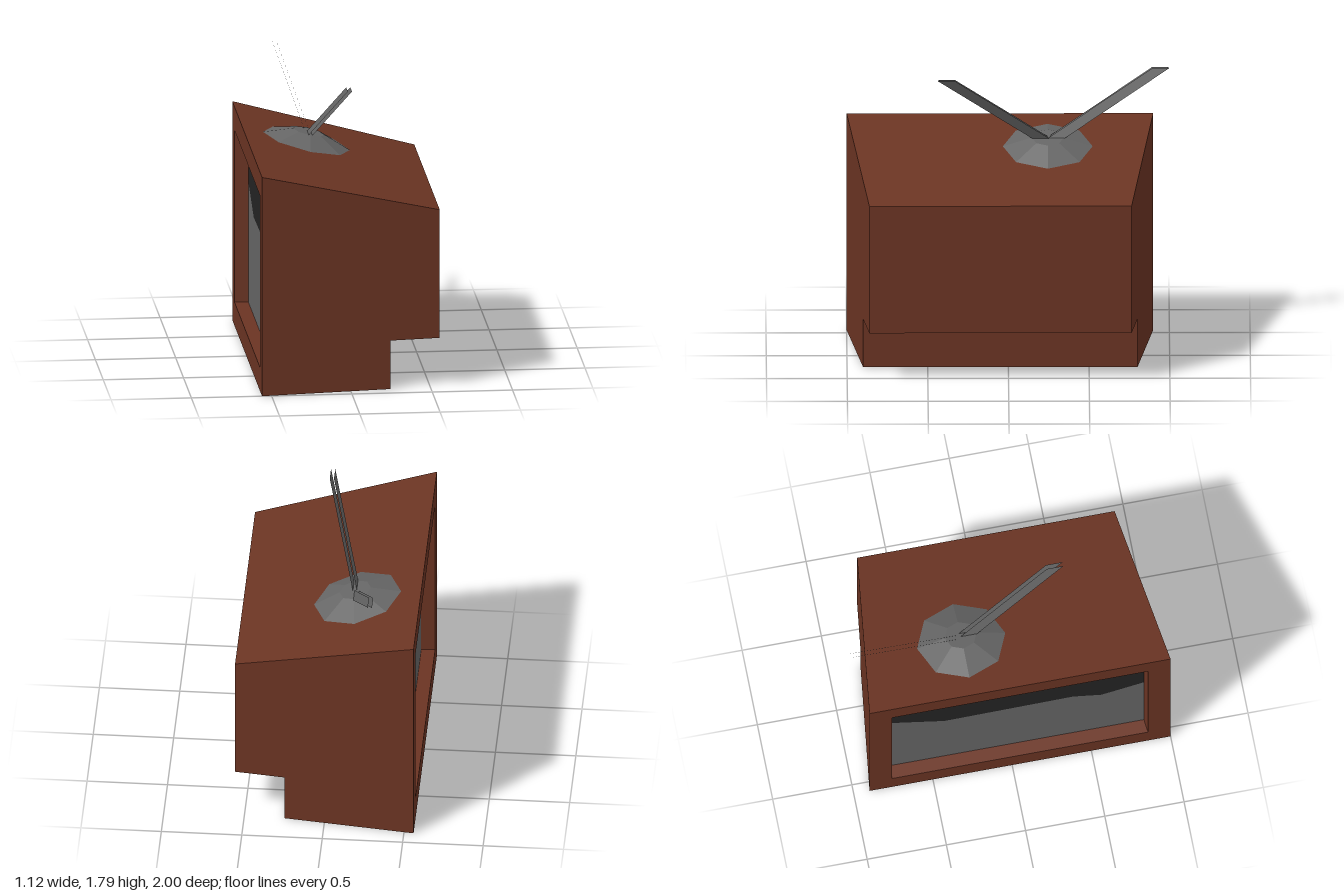
import * as THREE from 'three';

const brown = new THREE.MeshStandardMaterial({ color: 0x6b3423 });
brown.name = 'brown casing';
const grey = new THREE.MeshStandardMaterial({ color: 0x666666, side: THREE.DoubleSide, flatShading: true });
grey.name = 'grey metal and glass';
const black = new THREE.MeshStandardMaterial({ color: 0x242424 });
black.name = 'black glass';

const FRONT = -0.56, SCREEN = -0.47, HALF = 0.95, Z0 = 0.05;
const topY = (x) => 1.4 - 0.241 * (x - FRONT);

const shapeOf = (pts) => new THREE.Shape(pts.map(([x, y]) => new THREE.Vector2(x, y)));

function addMesh(group, name, geometry, material) {
  const mesh = new THREE.Mesh(geometry, material);
  mesh.name = name;
  group.add(mesh);
  return mesh;
}

// Narrow the casing towards its rear and slope its upper edge
function taper(geometry) {
  const p = geometry.attributes.position;
  for (let i = 0; i < p.count; i++) {
    const x = p.getX(i);
    p.setZ(i, p.getZ(i) * (1 - 0.1447 * (x - FRONT) / 1.12) + Z0);
    if (p.getY(i) > 1.3) p.setY(i, topY(x));
  }
  geometry.computeVertexNormals();
  return geometry;
}

export function createModel() {
  const model = new THREE.Group();
  model.name = 'television';

  // Casing: stepped side profile, extruded across the width
  const profile = shapeOf([[SCREEN, 0], [0.25, 0], [0.25, 0.31], [0.56, 0.31], [0.56, topY(0.56)], [SCREEN, topY(SCREEN)]]);
  const casing = new THREE.ExtrudeGeometry(profile, { depth: 2 * HALF, bevelEnabled: false });
  casing.translate(0, 0, -HALF);
  addMesh(model, 'casing', taper(casing), brown);

  // Frame around the recessed screen
  const rim = shapeOf([[-HALF, 0], [HALF, 0], [HALF, 1.4], [-HALF, 1.4]]);
  rim.holes.push(shapeOf([[-0.807, 0.15], [-0.807, 1.25], [0.807, 1.25], [0.807, 0.15]]));
  const frame = new THREE.ExtrudeGeometry(rim, { depth: SCREEN - FRONT, bevelEnabled: false });
  frame.rotateY(-Math.PI / 2).translate(SCREEN, 0, 0);
  addMesh(model, 'screenFrame', taper(frame), brown);

  // Screen: grey below and black above a shared uneven line
  const edge = [[-0.81, 0.92], [-0.73, 0.89], [-0.46, 0.78], [0.35, 0.8], [0.53, 0.74], [0.81, 0.83]];
  const panes = [
    ['screenLower', [[0.81, 0.14], [-0.81, 0.14], ...edge], grey],
    ['screenUpper', [[0.81, 1.26], [-0.81, 1.26], ...edge], black],
  ];
  for (const [name, pts, material] of panes) {
    const pane = addMesh(model, name, new THREE.ShapeGeometry(shapeOf(pts)), material);
    pane.rotation.y = -Math.PI / 2;
    pane.position.set(SCREEN - 0.004, 0, Z0);
  }

  // Eight-sided aerial base lying on the sloping top
  const base = addMesh(model, 'aerialBase', new THREE.CylinderGeometry(0.1, 0.285, 0.065, 8), grey);
  base.rotation.z = -Math.atan(0.241);
  base.position.set(-0.155, topY(-0.155) + 0.031, -0.245);

  // Aerial arms: each a pair of slanted parallel strips
  const arms = [
    ['aerialArmForward', [-0.152, 1.35, -0.22], [0.042, 1.79, 0.385]],
    ['aerialArmBackward', [-0.152, 1.35, -0.28], [-0.296, 1.773, -0.946]],
  ];
  for (const [name, a, b] of arms) {
    const arm = new THREE.Group();
    arm.name = name;
    for (const side of [-1, 1]) {
      const strip = new THREE.PlaneGeometry(1, 1);
      const p = strip.attributes.position;
      for (let i = 0; i < 4; i++) {
        const end = p.getY(i) > 0 ? b : a;
        p.setXYZ(i, end[0] + side * 0.013, end[1], end[2] + p.getX(i) * 0.106);
      }
      strip.computeVertexNormals();
      addMesh(arm, 'strip', strip, grey);
    }
    model.add(arm);
  }
  return model;
}
